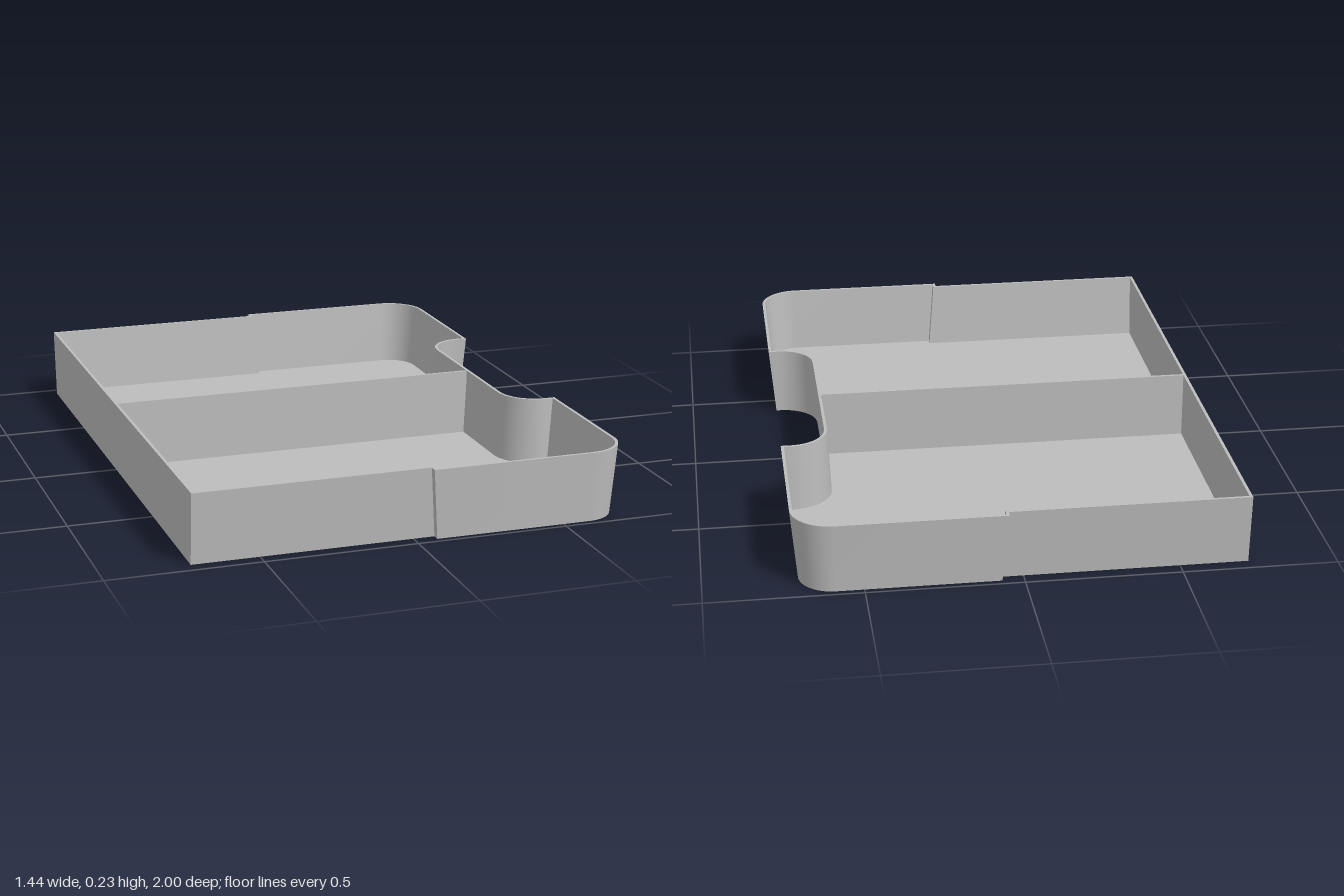
import * as THREE from 'three';
import { toCreasedNormals } from 'three/addons/utils/BufferGeometryUtils.js';

const HEIGHT = 0.235, WALL = 0.01, TAPER = 0.02, FLOOR = 0.01;

// Points along an arc in the x/z plane, angles in degrees
function arc(cx, cz, r, from, to, n = 12) {
  return Array.from({ length: n + 1 }, (_, i) => {
    const a = THREE.MathUtils.degToRad(from + (to - from) * i / n);
    return [cx + r * Math.cos(a), cz + r * Math.sin(a)];
  });
}

// Closed outline at height y, moved inward by the wall lean and by the wall thickness
function outline(y, wall) {
  const lean = TAPER * (1 - y / HEIGHT);
  const d = lean + wall;          // sides
  const k = lean * 0.5 + wall;    // notch leans less
  const half = [
    [-0.72 + wall, 0.975 - d],
    [0.05 + d, 0.975 - d],
    [0.05 + d, 1 - d],
    ...arc(0.59, 0.87, 0.13 - d, 90, 0),
    [0.72 - d, 0.4 + k],
    ...arc(0.685, 0.285, 0.115 + k, 90, 180),
  ];
  const mirrored = half.map(([x, z]) => [x, -z]).reverse();
  return [...half, ...mirrored].map(([x, z]) => new THREE.Vector3(x, y, z));
}

// Skin a series of outlines
function loft(loops) {
  const points = [];
  for (let j = 0; j < loops.length - 1; j++) {
    const a = loops[j], b = loops[j + 1];
    for (let i = 0; i < a.length; i++) {
      const n = (i + 1) % a.length;
      points.push(a[i], a[n], b[n], a[i], b[n], b[i]);
    }
  }
  const geometry = new THREE.BufferGeometry().setFromPoints(points);
  return toCreasedNormals(geometry, Math.PI / 6);
}

// Flat sheet filling an outline, facing up or down
function sheet(loop, up) {
  const s = up ? -1 : 1;
  const shape = new THREE.Shape(loop.map(p => new THREE.Vector2(p.x, s * p.z)));
  return new THREE.ShapeGeometry(shape).rotateX(s * Math.PI / 2).translate(0, loop[0].y, 0);
}

export function createModel() {
  const group = new THREE.Group();
  group.name = 'dividedTray';
  const grey = new THREE.MeshStandardMaterial({ color: 0xbcbcbc });
  grey.name = 'plain grey';

  const add = (name, geometry) => {
    const mesh = new THREE.Mesh(geometry, grey);
    mesh.name = name;
    group.add(mesh);
    return mesh;
  };

  const base = outline(0, 0);
  const floor = outline(FLOOR, WALL);

  // Leaning wall: outside, rim and inside
  add('wall', loft([base, outline(HEIGHT, 0), outline(HEIGHT, WALL), floor]));
  add('floor', sheet(floor, true));
  add('underside', sheet(base, false));

  // Partition from the straight side to the notch
  const left = -0.712, right = 0.558;
  add('divider', new THREE.BoxGeometry(right - left, HEIGHT - 0.005, 0.01))
    .position.set((left + right) / 2, (HEIGHT + 0.005) / 2, 0);

  return group;
}
